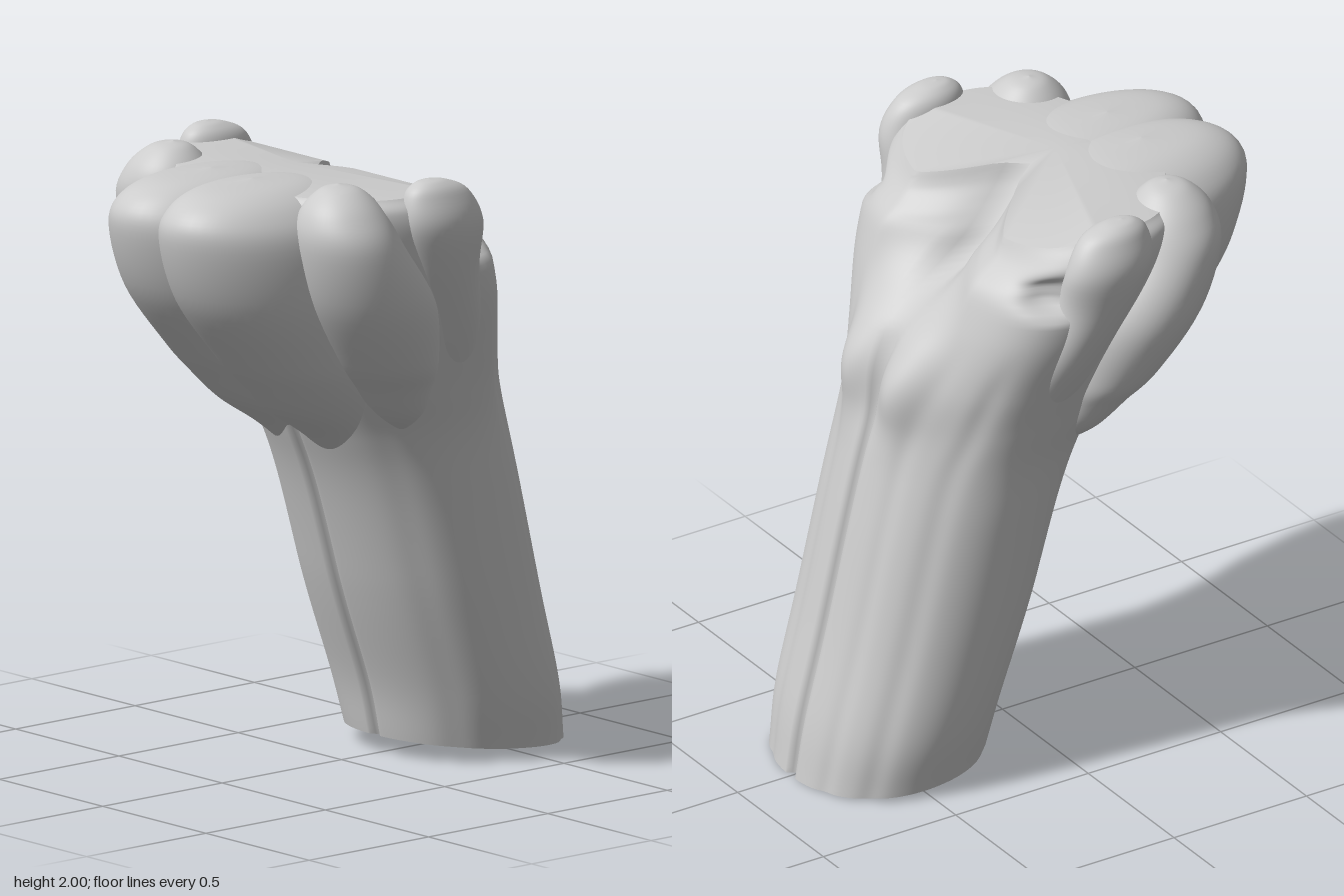
import * as THREE from 'three';

const material = new THREE.MeshStandardMaterial({ color: 0xcccccc, side: THREE.DoubleSide });
const { smoothstep } = THREE.MathUtils;
const bump = (v, centre, width) => Math.exp(-(((v - centre) / width) ** 2));

// Smooth loft through rows [y, cx, cz, rx, rz]; shape(a, row) gives a point of the ring.
function loft(rows, sides, steps, shape, capped = false) {
  const curve = new THREE.CubicInterpolant(rows.map((_, i) => i), rows.flat(), 5);
  const count = (rows.length - 1) * steps;
  const pos = [], idx = [];
  for (let j = 0; j <= count; j++) {
    const row = [...curve.evaluate(j / steps)];
    for (let i = 0; i < sides; i++) pos.push(...shape((i / sides) * Math.PI * 2, row));
  }
  for (let j = 0; j < count; j++) {
    for (let i = 0; i < sides; i++) {
      const k = (i + 1) % sides;
      const a = j * sides + i, b = j * sides + k;
      idx.push(a, b, b + sides, a, b + sides, a + sides);
    }
  }
  // end faces with their own vertices, so the rims stay sharp
  if (capped) {
    for (const j of [0, count]) {
      const base = pos.length / 3;
      const ring = pos.slice(j * sides * 3, (j + 1) * sides * 3);
      const row = rows[j ? rows.length - 1 : 0];
      pos.push(...ring, 0, row[0] + 0.03, j ? 0.2 : row[2]);
      for (let i = 0; i < sides; i++) {
        const a = base + i, b = base + ((i + 1) % sides), c = base + sides;
        idx.push(...(j ? [c, a, b] : [c, b, a]));
      }
    }
  }
  const geo = new THREE.BufferGeometry();
  geo.setAttribute('position', new THREE.Float32BufferAttribute(pos, 3));
  geo.setIndex(idx);
  geo.computeVertexNormals();
  return geo;
}

const ellipse = (a, [y, cx, cz, rx, rz]) => [
  cx + Math.max(rx, 0) * Math.sin(a), y, cz + Math.max(rz, 0) * Math.cos(a),
];

// Trunk ring: squarer at the upper back, with furrows, tubercles, a hollow and side dents.
function trunkRing(a, [y, , cz, rx, rz]) {
  const s = Math.sin(a), c = Math.cos(a);
  const high = smoothstep(y, 1.1, 1.7);
  const low = 1 - smoothstep(y, 1.3, 1.6);
  const power = 2 / (c < 0 ? 2.15 + 0.9 * high : 2.15);
  let x = rx * Math.sign(s) * Math.abs(s) ** power;
  let z = cz + rz * Math.sign(c) * Math.abs(c) ** power;

  // shallow furrows along the back and flanks
  const side = Math.abs(Math.atan2(s, c));
  const dip = low * (0.018 * bump(side, 2.72, 0.09) + 0.018 * bump(side, 2.25, 0.12) + 0.012 * bump(side, 0.85, 0.15));
  x *= 1 - dip;
  z = cz + (z - cz) * (1 - dip);
  // narrow midline fissures front and back
  z -= 0.035 * bump(x, 0, 0.013) * (c > 0 ? 1 : -low);
  if (c < 0) {
    // pair of rounded tubercles
    z -= 0.085 * bump(y, 1.36, 0.17) * bump(Math.abs(x), 0.125, 0.11);
    // V-shaped hollow above them
    const depth = 0.28 * smoothstep(y, 1.48, 1.85);
    z += depth * Math.max(0, 1 - Math.abs(x) / 0.26) ** 1.2;
    z += 0.07 * bump(y, 1.68, 0.08) * bump(x, 0, 0.05);
  }
  // scooped dent with a ledge on each flank
  x *= 1 - 0.15 * smoothstep(y, 1.68, 1.75) * (1 - smoothstep(y, 1.8, 1.9)) * bump(z, -0.14, 0.09);
  // rim falling away to the back, slanted foot
  y -= 0.35 * Math.max(0, 0.03 - z) * smoothstep(y, 1.7, 1.94);
  y += 0.06 * Math.max(0, 1 - y / 0.6) * (z - cz + rz) / (2 * rz);
  return [x, y, z];
}

const trunkRows = [
  [0, 0, -0.47, 0.355, 0.33],
  [0.2, 0, -0.43, 0.385, 0.334],
  [0.5, 0, -0.343, 0.395, 0.343],
  [0.9, 0, -0.235, 0.4, 0.355],
  [1.1, 0, -0.167, 0.41, 0.367],
  [1.25, 0, -0.1, 0.445, 0.37],
  [1.4, 0, -0.045, 0.49, 0.375],
  [1.6, 0, 0.035, 0.55, 0.385],
  [1.8, 0, 0.1, 0.575, 0.37],
  [1.9, 0, 0.145, 0.56, 0.345],
  [1.945, 0, 0.15, 0.52, 0.325],
];

// Paired lobes, given for the left side
const lobes = {
  frontLobe: [
    [0.96, 0.1, 0.06, 0, 0],
    [1.1, 0.11, 0.11, 0.11, 0.11],
    [1.2, 0.115, 0.17, 0.175, 0.2],
    [1.3, 0.12, 0.23, 0.22, 0.245],
    [1.4, 0.12, 0.28, 0.25, 0.29],
    [1.6, 0.12, 0.37, 0.28, 0.36],
    [1.8, 0.12, 0.43, 0.268, 0.375],
    [1.9, 0.12, 0.45, 0.215, 0.34],
    [1.96, 0.11, 0.46, 0.13, 0.22],
    [1.98, 0.1, 0.46, 0, 0],
  ],
  sideLobe: [
    [1.13, 0.34, 0.04, 0, 0],
    [1.2, 0.35, 0.06, 0.075, 0.075],
    [1.3, 0.36, 0.1, 0.135, 0.13],
    [1.4, 0.38, 0.15, 0.18, 0.17],
    [1.6, 0.41, 0.24, 0.215, 0.21],
    [1.8, 0.43, 0.34, 0.185, 0.17],
    [1.91, 0.42, 0.36, 0.14, 0.135],
    [1.98, 0.41, 0.36, 0.07, 0.07],
    [2, 0.4, 0.36, 0, 0],
  ],
  rearRidge: [
    [1.1, 0.33, -0.17, 0, 0],
    [1.3, 0.38, -0.1, 0.065, 0.1],
    [1.5, 0.445, -0.05, 0.1, 0.12],
    [1.7, 0.505, 0.02, 0.11, 0.13],
    [1.85, 0.545, 0.05, 0.1, 0.15],
    [1.95, 0.54, 0.07, 0.075, 0.12],
    [1.99, 0.54, 0.09, 0.04, 0.06],
    [2, 0.54, 0.1, 0, 0],
  ],
};

export function createModel() {
  const group = new THREE.Group();
  const add = (name, geometry) => {
    const mesh = new THREE.Mesh(geometry, material);
    mesh.name = name;
    group.add(mesh);
  };

  add('trunk', loft(trunkRows, 240, 10, trunkRing, true));

  for (const [name, rows] of Object.entries(lobes)) {
    for (const s of [1, -1]) {
      const mirrored = rows.map(([y, cx, ...rest]) => [y, s * cx, ...rest]);
      add(name + (s > 0 ? 'Left' : 'Right'), loft(mirrored, 48, 6, ellipse));
    }
  }
  return group;
}
